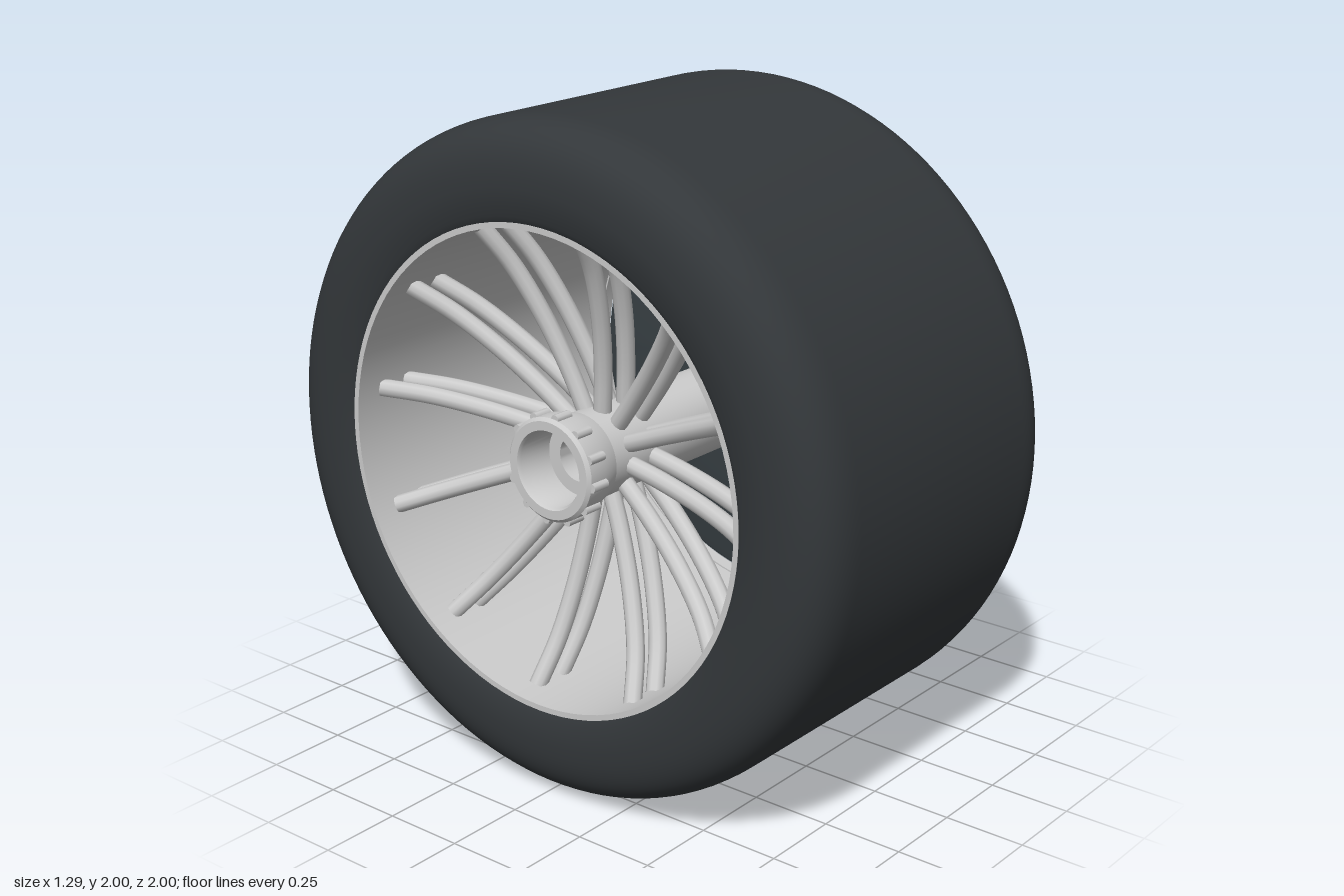
import * as THREE from 'three';
import { toCreasedNormals } from 'three/addons/utils/BufferGeometryUtils.js';

const paint = (color) => new THREE.MeshStandardMaterial({ color });
const grey = paint(0xcccccc);
const rubber = paint(0x33373a);
const carbon = paint(0x394145);
const gold = paint(0x9a8a5c);

export function createModel() {
  const model = new THREE.Group();
  // The wheel is turned about local y, then laid over so its axle runs along x
  const wheel = new THREE.Group();
  wheel.name = 'wheel';
  wheel.rotation.z = -Math.PI / 2;
  wheel.position.y = 1;
  model.add(wheel);

  const add = (name, geometry, material, parent = wheel) => {
    const mesh = new THREE.Mesh(geometry, material);
    mesh.name = name;
    parent.add(mesh);
    return mesh;
  };

  // Closed ring section of [radius, axial position], listed counterclockwise
  const turned = (name, points, material, segments = 96) => {
    const profile = [...points, points[0]].map(([r, a]) => new THREE.Vector2(r, a));
    return add(name, toCreasedNormals(new THREE.LatheGeometry(profile, segments), 0.6), material);
  };

  // Wide slick tyre with rounded shoulders
  const section = new THREE.Path();
  section.moveTo(0.715, -0.635);
  section.lineTo(0.74, -0.65);
  section.lineTo(0.82, -0.65);
  section.bezierCurveTo(0.95, -0.65, 1, -0.59, 1, -0.48);
  section.lineTo(1, 0.33);
  section.bezierCurveTo(1, 0.44, 0.95, 0.5, 0.82, 0.5);
  section.lineTo(0.725, 0.5);
  section.lineTo(0.715, 0.48);
  section.lineTo(0.715, -0.635);
  add('tyre', toCreasedNormals(new THREE.LatheGeometry(section.getPoints(14), 128), 0.6), rubber);

  // Thin painted stripe on the outer sidewall
  const stripe = add('sidewallStripe', new THREE.TorusGeometry(0.887, 0.005, 6, 128), gold);
  stripe.rotation.x = Math.PI / 2;
  stripe.position.y = 0.492;

  // Rim barrel and its outer lip
  turned('rimBarrel', [[0.705, -0.64], [0.722, -0.64], [0.722, 0.49], [0.705, 0.49]], grey);
  turned('rimLip', [[0.7, 0.46], [0.73, 0.46], [0.735, 0.505], [0.728, 0.518], [0.712, 0.52], [0.7, 0.505]], grey);

  // Wheel cover, gently domed and dished around the nut
  turned('wheelCover', [
    [0.1, 0.515], [0.68, 0.49], [0.69, 0.495], [0.69, 0.52], [0.68, 0.536],
    [0.655, 0.543], [0.5, 0.556], [0.36, 0.564], [0.26, 0.563], [0.19, 0.55], [0.1, 0.545],
  ], carbon);

  // Centre nut with a flared flange and a through bore
  turned('nutFlange', [[0.07, 0.5], [0.155, 0.5], [0.155, 0.552], [0.135, 0.562], [0.07, 0.562]], grey, 24);
  turned('centreNut', [
    [0.07, 0.54], [0.12, 0.54], [0.12, 0.635], [0.112, 0.645], [0.088, 0.645], [0.07, 0.615],
  ], grey, 48);

  // Hub tube and the open ring at its inner end
  turned('hub', [[0.07, -0.45], [0.13, -0.45], [0.13, 0.52], [0.07, 0.52]], grey, 48);
  turned('hubRing', [
    [0.112, -0.57], [0.118, -0.58], [0.145, -0.58], [0.155, -0.57], [0.155, -0.51], [0.135, -0.44], [0.112, -0.44],
  ], grey, 48);

  // Two rows of curved round spokes, and a small stud by each on the hub ring
  const spokeCount = 12;
  const spokeShape = (shift) => new THREE.TubeGeometry(new THREE.CatmullRomCurve3([
    [0.11, -0.36], [0.25, -0.375], [0.42, -0.41], [0.58, -0.465], [0.712, -0.54],
  ].map(([r, a]) => new THREE.Vector3(r, a + shift, 0))), 20, 0.027, 10);
  const rows = [spokeShape(0), spokeShape(0.1)];
  const stud = new THREE.CylinderGeometry(0.014, 0.014, 0.06, 8);
  for (let i = 0; i < spokeCount; i++) {
    const spoke = new THREE.Group();
    spoke.name = 'spokePair';
    // Local angle measured so that one pair sits just above the horizontal
    spoke.rotation.y = ((i + 0.25) / spokeCount) * Math.PI * 2;
    wheel.add(spoke);
    rows.forEach((geometry) => add('spoke', geometry, grey, spoke));
    add('hubStud', stud, grey, spoke).position.set(0.155, -0.54, 0);
  }
  return model;
}
